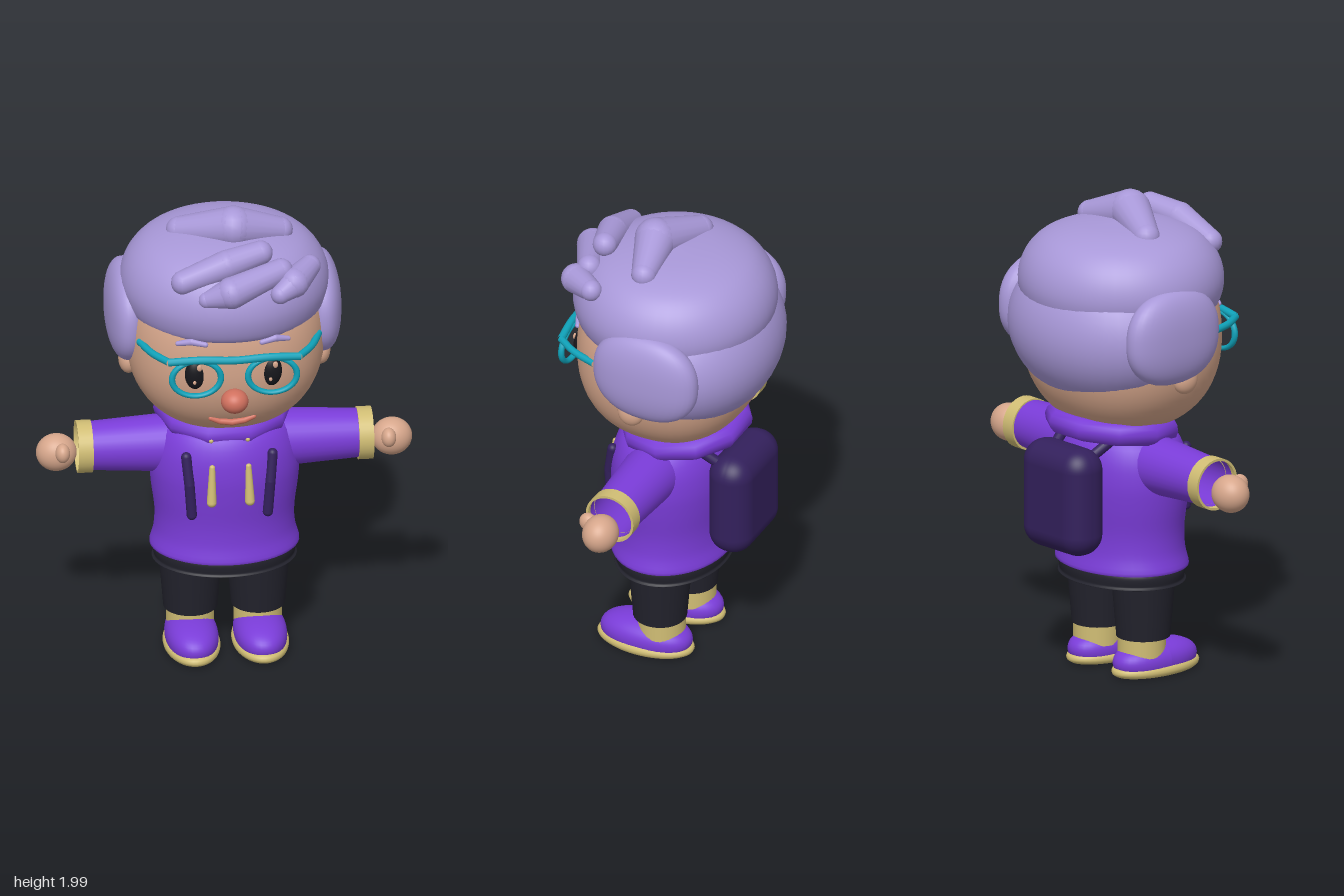
import * as THREE from 'three';
import { mergeGeometries } from 'three/addons/utils/BufferGeometryUtils.js';
import { RoundedBoxGeometry } from 'three/addons/geometries/RoundedBoxGeometry.js';

const V = (a) => new THREE.Vector3(...a);

function paint(name, color, side = THREE.FrontSide) {
  const m = new THREE.MeshStandardMaterial({ color, side });
  m.name = name;
  return m;
}

// Ellipsoid; a power above 2 makes it fuller and boxier
function ball([rx, ry, rz], power = 2, w = 40, h = 28) {
  const g = new THREE.SphereGeometry(1, w, h);
  const p = g.attributes.position, n = g.attributes.normal, v = new THREE.Vector3();
  const bend = (c) => Math.sign(c) * Math.abs(c) ** (power - 1);
  for (let i = 0; i < p.count; i++) {
    v.fromBufferAttribute(p, i);
    const sum = Math.abs(v.x) ** power + Math.abs(v.y) ** power + Math.abs(v.z) ** power;
    v.multiplyScalar(sum ** (-1 / power));
    p.setXYZ(i, v.x * rx, v.y * ry, v.z * rz);
    v.set(bend(v.x) / rx, bend(v.y) / ry, bend(v.z) / rz).normalize();
    n.setXYZ(i, v.x, v.y, v.z);
  }
  return g;
}

// Chain of round joints and tapered links: points are [x, y, z, radius]
function chain(points) {
  const parts = [];
  points.forEach(([x, y, z, r], i) => {
    parts.push(new THREE.SphereGeometry(r, 18, 12).translate(x, y, z));
    if (i === 0) return;
    const a = V(points[i - 1].slice(0, 3)), b = V([x, y, z]);
    const dir = b.clone().sub(a), mid = a.clone().add(b).multiplyScalar(0.5);
    const link = new THREE.CylinderGeometry(r, points[i - 1][3], dir.length(), 18, 1, true);
    link.applyQuaternion(new THREE.Quaternion().setFromUnitVectors(V([0, 1, 0]), dir.normalize()));
    parts.push(link.translate(mid.x, mid.y, mid.z));
  });
  return mergeGeometries(parts);
}

const tube = (points, r, segments = 28) =>
  new THREE.TubeGeometry(new THREE.CatmullRomCurve3(points.map(V)), segments, r, 10);

// Smooth turned shape from [radius, height] points, bottom to top
function turned(profile, zScale) {
  const curve = new THREE.SplineCurve(profile.map(([r, y]) => new THREE.Vector2(r, y)));
  const pts = curve.getPoints(36).map((p) => p.setX(Math.max(p.x, 0)));
  return new THREE.LatheGeometry(pts, 48).scale(1, 1, zScale);
}

export function createModel() {
  const model = new THREE.Group();
  const skin = paint('skin', 0xd6a68b);
  const hair = paint('lilac hair', 0xa898d8);
  const purple = paint('purple cloth', 0x7a3cd8, THREE.DoubleSide);
  const dark = paint('dark purple pack', 0x33205c);
  const black = paint('charcoal trousers', 0x22222c);
  const tan = paint('tan trim', 0xd0bd74, THREE.DoubleSide);
  const teal = paint('teal frame', 0x10a3ba);
  const rose = paint('rose nose', 0xd0705e);
  const ink = paint('eye black', 0x17171c);

  const add = (name, geometry, material, x = 0, y = 0, z = 0) => {
    const m = new THREE.Mesh(geometry, material);
    m.name = name;
    m.position.set(x, y, z);
    model.add(m);
    return m;
  };

  // Head and face
  add('head', ball([0.405, 0.4, 0.375], 2.3, 56, 40), skin, 0, 1.42, 0);
  add('nose', ball([0.056, 0.05, 0.056]), rose, 0, 1.28, 0.39);
  add('mouth', chain([[-0.088, 1.163, 0.302, 0.01], [-0.05, 1.148, 0.302, 0.013], [0, 1.142, 0.304, 0.014],
    [0.05, 1.148, 0.302, 0.013], [0.088, 1.163, 0.302, 0.01]]), rose);

  // Hair: crown, back layer and angular tufts
  add('hairCrown', turned([[0.3, 1.545], [0.37, 1.53], [0.405, 1.56], [0.425, 1.64], [0.412, 1.72],
    [0.37, 1.79], [0.3, 1.842], [0.18, 1.876], [0, 1.89]], 0.975), hair, 0, 0, -0.005);
  add('hairBack', ball([0.43, 0.32, 0.325]), hair, 0, 1.47, -0.12);
  const tufts = [
    [[-0.18, 1.86, -0.025, 0.056], [0.03, 1.91, 0.07, 0.086], [0.225, 1.865, 0.025, 0.052]],
    [[-0.2, 1.785, 0.3, 0.05], [-0.02, 1.85, 0.29, 0.062], [0.12, 1.88, 0.255, 0.05]],
    [[-0.11, 1.73, 0.36, 0.035], [-0.01, 1.765, 0.375, 0.066], [0.2, 1.81, 0.285, 0.05]],
    [[0.19, 1.74, 0.36, 0.04], [0.25, 1.77, 0.32, 0.062], [0.325, 1.79, 0.215, 0.045]],
  ];
  tufts.forEach((t) => add('hairTuft', chain(t), hair));

  // Glasses front bar
  add('glassesBar', tube([[-0.27, 1.465, 0.38], [-0.14, 1.475, 0.395], [0, 1.47, 0.4],
    [0.14, 1.475, 0.395], [0.27, 1.465, 0.38]], 0.016), teal);

  // Hooded top, collar and backpack
  add('hoodie', turned([[0.27, 0.47], [0.305, 0.46], [0.288, 0.53], [0.285, 0.62], [0.3, 0.74],
    [0.305, 0.84], [0.287, 0.94], [0.235, 1.015], [0.12, 1.045], [0, 1.05]], 0.8), purple);
  const collar = add('hoodCollar', new THREE.TorusGeometry(0.235, 0.05, 12, 10)
    .rotateX(Math.PI / 2).scale(1, 1, 0.95), purple, 0, 1.045, -0.055);
  collar.rotation.x = 0.12;
  add('backpack', new RoundedBoxGeometry(0.38, 0.45, 0.19, 6, 0.09), dark, 0, 0.78, -0.315);
  add('waistband', turned([[0, 0.395], [0.27, 0.395], [0.287, 0.41], [0.283, 0.46], [0.2, 0.475]], 0.78), black);

  for (const s of [-1, 1]) {
    // Face details
    add('ear', ball([0.04, 0.06, 0.056]), skin, s * 0.392, 1.3, 0);
    add('sideHair', ball([0.085, 0.197, 0.232], 2.3), hair, s * 0.395, 1.495, -0.07);
    add('eye', ball([0.043, 0.066, 0.03]), ink, s * 0.155, 1.388, 0.343);
    add('eyeGlint', ball([0.011, 0.015, 0.006], 2, 14, 10), skin, s * 0.155 + 0.014, 1.425, 0.367);
    add('lowerGlint', ball([0.007, 0.009, 0.005], 2, 14, 10), skin, s * 0.155 - 0.006, 1.362, 0.371);
    add('eyebrow', chain([[s * 0.225, 1.522, 0.326, 0.01], [s * 0.17, 1.536, 0.345, 0.015],
      [s * 0.115, 1.526, 0.358, 0.011]]), hair);
    const rim = add('glassesRim', new THREE.TorusGeometry(0.1, 0.013, 12, 40), teal, s * 0.155, 1.388, 0.385);
    rim.scale.set(1, 0.78, 1);
    add('glassesTemple', tube([[s * 0.265, 1.465, 0.38], [s * 0.325, 1.465, 0.29], [s * 0.365, 1.465, 0.18]], 0.015), teal);

    // Sleeve, open cuff and hand
    const sleeve = add('sleeve', new THREE.CylinderGeometry(0.098, 0.122, 0.38, 32, 1, true), purple, s * 0.39, 0.907, -0.01);
    const cuff = add('cuff', new THREE.CylinderGeometry(0.108, 0.108, 0.06, 32, 1, true), tan, s * 0.572, 0.905, -0.01);
    const cuffEdge = add('cuffEdge', new THREE.RingGeometry(0.098, 0.108, 32), tan, s * 0.602, 0.905, -0.01);
    const cuffBack = add('cuffBack', new THREE.RingGeometry(0.098, 0.108, 32), tan, s * 0.542, 0.905, -0.01);
    sleeve.rotation.z = cuff.rotation.z = -s * Math.PI / 2;
    cuffEdge.rotation.y = cuffBack.rotation.y = s * Math.PI / 2;
    add('hand', ball([0.083, 0.078, 0.073]), skin, s * 0.684, 0.885, -0.01);
    add('thumb', ball([0.03, 0.04, 0.038]), skin, s * 0.665, 0.91, 0.055);

    // Drawstrings and backpack straps
    add('drawstring', chain([[s * 0.078, 0.75, 0.245, 0.02], [s * 0.074, 0.9, 0.23, 0.012]]), tan);
    add('eyelet', ball([0.01, 0.01, 0.01], 2, 12, 8), tan, s * 0.075, 1.005, 0.195);
    add('frontStrap', chain([[s * 0.155, 0.68, 0.208, 0.021], [s * 0.165, 0.82, 0.212, 0.021],
      [s * 0.176, 0.935, 0.192, 0.021]]), dark);
    add('backStrap', chain([[s * 0.14, 1.02, -0.18, 0.022], [s * 0.11, 0.95, -0.28, 0.022]]), dark);

    // Leg, sock and shoe
    add('leg', new THREE.CylinderGeometry(0.132, 0.11, 0.26, 32), black, s * 0.138, 0.297, -0.005);
    add('sock', new THREE.CylinderGeometry(0.098, 0.098, 0.1, 32), tan, s * 0.138, 0.135, -0.013);
    const shoe = ball([0.108, 0.08, 0.2], 2.2);
    const p = shoe.attributes.position;
    for (let i = 0; i < p.count; i++) p.setY(i, Math.max(p.getY(i), -0.045));
    shoe.computeVertexNormals();
    add('shoe', shoe, purple, s * 0.14, 0.063, 0.055);
    const sole = new THREE.TorusGeometry(1, 0.2, 12, 48).rotateX(Math.PI / 2).scale(0.097, 0.11, 0.178);
    add('soleRim', sole, tan, s * 0.14, 0.03, 0.058);
  }
  return model;
}
